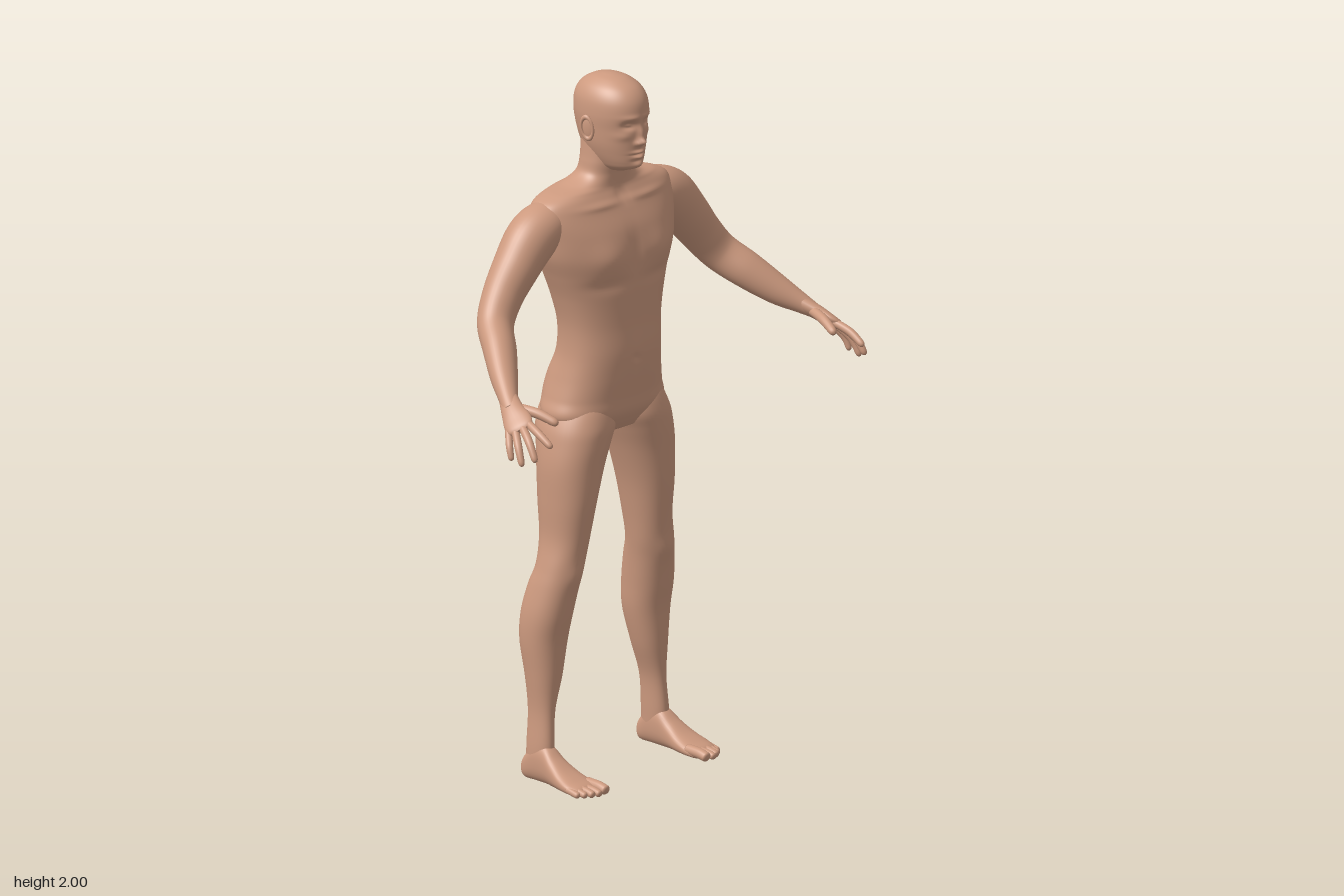
import * as THREE from 'three';

const skin = new THREE.MeshStandardMaterial({ color: 0xcd9a7f });
skin.name = 'skin';

// Smooth interpolation through rows of numbers, t from 0 to 1
function rowAt(rows, t) {
  const f = t * (rows.length - 1), i = Math.min(Math.floor(f), rows.length - 2), u = f - i;
  const at = k => rows[Math.max(0, Math.min(rows.length - 1, k))];
  const [p, q, r, s] = [at(i - 1), at(i), at(i + 1), at(i + 2)];
  return q.map((_, c) => 0.5 * (2 * q[c] + (r[c] - p[c]) * u + (2 * p[c] - 5 * q[c] + 4 * r[c] - s[c]) * u * u
    + (3 * q[c] - p[c] - 3 * r[c] + s[c]) * u * u * u));
}

// Closed skin over rings; ring(t) returns a function of the angle giving a point
function skinOver(ring, stations, sides) {
  const pos = [], idx = [];
  for (let i = 0; i <= stations; i++) {
    const point = ring(i / stations), mid = new THREE.Vector3();
    for (let j = 0; j < sides; j++) {
      const p = point(j / sides * Math.PI * 2);
      pos.push(p.x, p.y, p.z);
      mid.add(p);
      if (i === stations) continue;
      const a = i * sides + j, b = i * sides + (j + 1) % sides;
      idx.push(a, a + sides, b + sides, a, b + sides, b);
    }
    if (i === 0 || i === stations) ring['cap' + (i ? 1 : 0)] = mid.divideScalar(sides);
  }
  const c = pos.length / 3, last = stations * sides;
  pos.push(...ring.cap0.toArray(), ...ring.cap1.toArray());
  for (let j = 0; j < sides; j++) {
    const k = (j + 1) % sides;
    idx.push(c, j, k, c + 1, last + k, last + j);
  }
  const g = new THREE.BufferGeometry();
  g.setAttribute('position', new THREE.Float32BufferAttribute(pos, 3));
  g.setIndex(idx);
  g.computeVertexNormals();
  return g;
}

// Rows [t, a0, a1, b0, b1]: upright (t = y, bottom to top) or lying (t = z, front to back)
function loft(rows, { lying = false, e = 2.2, stations = 80, sides = 48, sculpt } = {}) {
  const pw = v => Math.sign(v) * Math.abs(v) ** (2 / e);
  return skinOver(t => {
    const [h, a0, a1, b0, b1] = rowAt(rows, t);
    return th => {
      const a = (a0 + a1) / 2 + (a1 - a0) / 2 * pw(Math.cos(th));
      const b = (b0 + b1) / 2 + (b1 - b0) / 2 * pw(Math.sin(th));
      const p = lying ? new THREE.Vector3(a, b, h) : new THREE.Vector3(a, h, b);
      if (sculpt) sculpt(p, Math.sin(th));
      return p;
    };
  }, stations, sides);
}

// Rows [x, y, z, ru, rv]: elliptical limb, ru measured along ref
function sweep(rows, ref, { round = false, stations = 30, sides = 16 } = {}) {
  const centre = t => new THREE.Vector3(...rowAt(rows, t).slice(0, 3));
  return skinOver(t => {
    const [x, y, z, ru, rv] = rowAt(rows, t);
    const T = centre(Math.min(1, t + 0.01)).sub(centre(Math.max(0, t - 0.01))).normalize();
    const U = ref.clone().addScaledVector(T, -T.dot(ref)).normalize(), V = U.clone().cross(T);
    const k = round ? Math.sqrt(Math.max(0.004, 1 - Math.max(0, (t - 0.82) / 0.18) ** 2)) : 1;
    return th => new THREE.Vector3(x, y, z).addScaledVector(U, ru * k * Math.cos(th)).addScaledVector(V, rv * k * Math.sin(th));
  }, stations, sides);
}

// Sculpting: each dab [x, y, rx, ry, depth] pushes the surface along z, on both sides
function dabs(list, face) {
  return (p, s) => {
    const w = Math.min(1, Math.max(0, s * face) * 1.6);
    const x = Math.abs(p.x), y = p.y;
    let d = 0;
    for (const [cx, cy, rx, ry, depth] of list) d += depth * Math.exp(-(((x - cx) / rx) ** 2) - ((y - cy) / ry) ** 2);
    p.z += d * w * face;
  };
}

function mirrored(g) {
  const m = g.clone().scale(-1, 1, 1), i = m.index.array;
  for (let k = 0; k < i.length; k += 3) [i[k], i[k + 1]] = [i[k + 1], i[k]];
  m.computeVertexNormals();
  return m;
}

export function createModel() {
  const model = new THREE.Group();
  model.name = 'human figure';
  const add = (name, g) => {
    const m = new THREE.Mesh(g, skin);
    m.name = name;
    model.add(m);
  };
  const pair = (name, g) => { add('left ' + name, g); add('right ' + name, mirrored(g)); };
  const even = rows => rows.map(([y, w, b, f]) => [y, -w, w, b, f]);

  // Torso and neck: y, half width, back, front
  const front = dabs([[0.1, 1.5, 0.06, 0.05, 0.012], [0, 1.49, 0.018, 0.07, -0.006], [0.09, 1.425, 0.07, 0.02, -0.005],
    [0, 1.3, 0.012, 0.1, -0.004], [0, 1.2, 0.008, 0.01, -0.006], [0.09, 1.645, 0.07, 0.01, 0.005], [0, 1.66, 0.02, 0.02, -0.008]], 1);
  const back = dabs([[0, 1.38, 0.028, 0.2, -0.016], [0.1, 1.55, 0.05, 0.07, 0.008], [0, 1.06, 0.016, 0.075, -0.045],
    [0.085, 1.08, 0.05, 0.06, 0.012]], -1);
  add('torso', loft(even([
    [0.99, 0.15, -0.2, -0.05], [1.04, 0.198, -0.246, -0.022], [1.09, 0.187, -0.255, -0.015], [1.15, 0.172, -0.247, -0.006],
    [1.22, 0.16, -0.222, 0], [1.3, 0.162, -0.215, -0.003], [1.38, 0.18, -0.227, -0.003], [1.45, 0.205, -0.24, -0.002],
    [1.51, 0.228, -0.248, -0.004], [1.57, 0.24, -0.252, -0.015], [1.62, 0.25, -0.248, -0.036], [1.658, 0.24, -0.235, -0.055],
    [1.68, 0.195, -0.22, -0.066], [1.695, 0.13, -0.205, -0.068], [1.72, 0.085, -0.19, -0.066],
    [1.76, 0.075, -0.182, -0.062], [1.82, 0.07, -0.18, -0.07]]),
  { e: 2.35, stations: 140, sides: 96, sculpt: (p, s) => { front(p, s); back(p, s); } }));

  // Head with a sculpted face
  add('head', loft(even([
    [1.735, 0.035, -0.13, -0.035], [1.748, 0.05, -0.155, -0.004], [1.765, 0.06, -0.17, 0.004], [1.79, 0.07, -0.185, 0.006],
    [1.82, 0.078, -0.198, 0.008], [1.86, 0.083, -0.21, 0.01], [1.9, 0.086, -0.216, 0.015], [1.94, 0.082, -0.212, 0.009],
    [1.97, 0.067, -0.193, -0.012], [1.99, 0.042, -0.16, -0.047], [1.998, 0.018, -0.128, -0.08], [2, 0.001, -0.105, -0.102]]),
  { e: 2.1, stations: 150, sides: 120, sculpt: dabs([
    [0, 1.826, 0.01, 0.011, 0.02], [0, 1.85, 0.009, 0.022, 0.012], [0.013, 1.822, 0.006, 0.007, 0.008],
    [0.033, 1.876, 0.017, 0.011, -0.015], [0.033, 1.876, 0.01, 0.005, 0.007], [0.03, 1.898, 0.025, 0.008, 0.004],
    [0.05, 1.845, 0.018, 0.012, 0.004], [0, 1.796, 0.02, 0.005, 0.008], [0, 1.789, 0.022, 0.002, -0.004],
    [0, 1.781, 0.017, 0.005, 0.008], [0, 1.77, 0.02, 0.005, -0.003], [0, 1.757, 0.018, 0.01, 0.007]], 1) }));

  // Ears: a shell with a raised rim
  const place = g => g.rotateX(-0.15).rotateY(-0.3).translate(0.087, 1.86, -0.106);
  pair('ear', place(new THREE.SphereGeometry(1, 20, 14).scale(0.006, 0.032, 0.018)));
  pair('ear rim', place(new THREE.TorusGeometry(0.022, 0.005, 8, 28).rotateY(Math.PI / 2).scale(1, 1.4, 0.8).translate(0.004, 0, 0)));

  // Legs: y, inner, outer, back, front
  const knee = (p, s) => { if (s > 0) p.z += 0.007 * s * Math.exp(-(((p.x - 0.178) / 0.03) ** 2) - ((p.y - 0.595) / 0.035) ** 2); };
  pair('leg', loft([
    [0.04, 0.2, 0.253, -0.197, -0.11], [0.1, 0.197, 0.253, -0.197, -0.107], [0.2, 0.19, 0.247, -0.197, -0.112],
    [0.3, 0.16, 0.255, -0.21, -0.105], [0.4, 0.138, 0.265, -0.228, -0.098], [0.48, 0.13, 0.265, -0.226, -0.082],
    [0.56, 0.122, 0.252, -0.21, -0.067], [0.62, 0.113, 0.238, -0.192, -0.058], [0.7, 0.1, 0.223, -0.195, -0.048],
    [0.8, 0.08, 0.225, -0.206, -0.035], [0.9, 0.05, 0.226, -0.216, -0.028], [0.97, 0.023, 0.217, -0.232, -0.022],
    [1.02, 0.004, 0.205, -0.246, -0.022], [1.08, 0.015, 0.175, -0.235, -0.04], [1.12, 0.05, 0.14, -0.19, -0.08]],
  { sculpt: knee }));

  // Feet: z, inner, outer, sole, top
  pair('foot', loft([
    [0.042, 0.195, 0.262, 0.003, 0.018], [0.03, 0.187, 0.275, 0, 0.028], [0, 0.182, 0.283, 0, 0.038], [-0.04, 0.185, 0.278, 0, 0.055],
    [-0.08, 0.192, 0.268, 0, 0.08], [-0.12, 0.196, 0.258, 0, 0.11], [-0.16, 0.199, 0.255, 0, 0.11],
    [-0.193, 0.203, 0.251, 0, 0.075], [-0.207, 0.209, 0.245, 0.006, 0.055], [-0.211, 0.22, 0.235, 0.018, 0.038]],
  { lying: true, e: 2.4, stations: 50, sides: 36 }));
  const across = new THREE.Vector3(1, 0, 0);
  [[0.198, 0.076, 0.015], [0.224, 0.077, 0.011], [0.243, 0.069, 0.011], [0.26, 0.057, 0.01], [0.274, 0.043, 0.01]].forEach(([x, z, r], i) =>
    pair('toe ' + (i + 1), sweep([[x, r + 0.008, 0, r, r], [x, r + 0.006, z - 0.03, r, r], [x, r, z, r, r * 0.9]], across, { round: true })));

  // Arms: x, y, z, thickness along z, thickness across
  pair('arm', sweep([
    [0.15, 1.615, -0.15, 0.05, 0.045], [0.21, 1.605, -0.147, 0.068, 0.065], [0.27, 1.572, -0.145, 0.07, 0.075],
    [0.33, 1.51, -0.142, 0.064, 0.068], [0.39, 1.438, -0.137, 0.055, 0.06], [0.44, 1.375, -0.115, 0.049, 0.055],
    [0.485, 1.325, -0.055, 0.045, 0.052], [0.535, 1.272, 0.01, 0.037, 0.042], [0.575, 1.235, 0.065, 0.027, 0.028],
    [0.597, 1.214, 0.098, 0.024, 0.02]], new THREE.Vector3(0, 0, 1), { stations: 70, sides: 36 }));

  // Hands: flat palm and jointed fingers
  const palmWidth = new THREE.Vector3(-0.04, 0.03, 0.045);
  pair('palm', sweep([
    [0.572, 1.238, 0.06, 0.026, 0.022], [0.597, 1.213, 0.103, 0.033, 0.02], [0.612, 1.195, 0.135, 0.041, 0.017],
    [0.623, 1.184, 0.156, 0.038, 0.013], [0.628, 1.178, 0.166, 0.026, 0.008]], palmWidth, { sides: 24 }));
  const fingers = {
    thumb: [0.014, [0.583, 1.22, 0.1], [0.562, 1.212, 0.165], [0.543, 1.19, 0.224]],
    'index finger': [0.0115, [0.6, 1.2, 0.15], [0.612, 1.178, 0.215], [0.612, 1.148, 0.267]],
    'middle finger': [0.0115, [0.614, 1.192, 0.15], [0.638, 1.157, 0.205], [0.648, 1.108, 0.24]],
    'ring finger': [0.011, [0.627, 1.182, 0.14], [0.654, 1.14, 0.18], [0.664, 1.092, 0.204]],
    'little finger': [0.01, [0.636, 1.172, 0.125], [0.658, 1.136, 0.15], [0.664, 1.1, 0.164]],
  };
  for (const [name, [r, a, b, c]] of Object.entries(fingers))
    pair(name, sweep([[...a, r, r], [...b, r, r], [...c, r * 0.8, r * 0.8]], palmWidth, { round: true }));

  return model;
}
